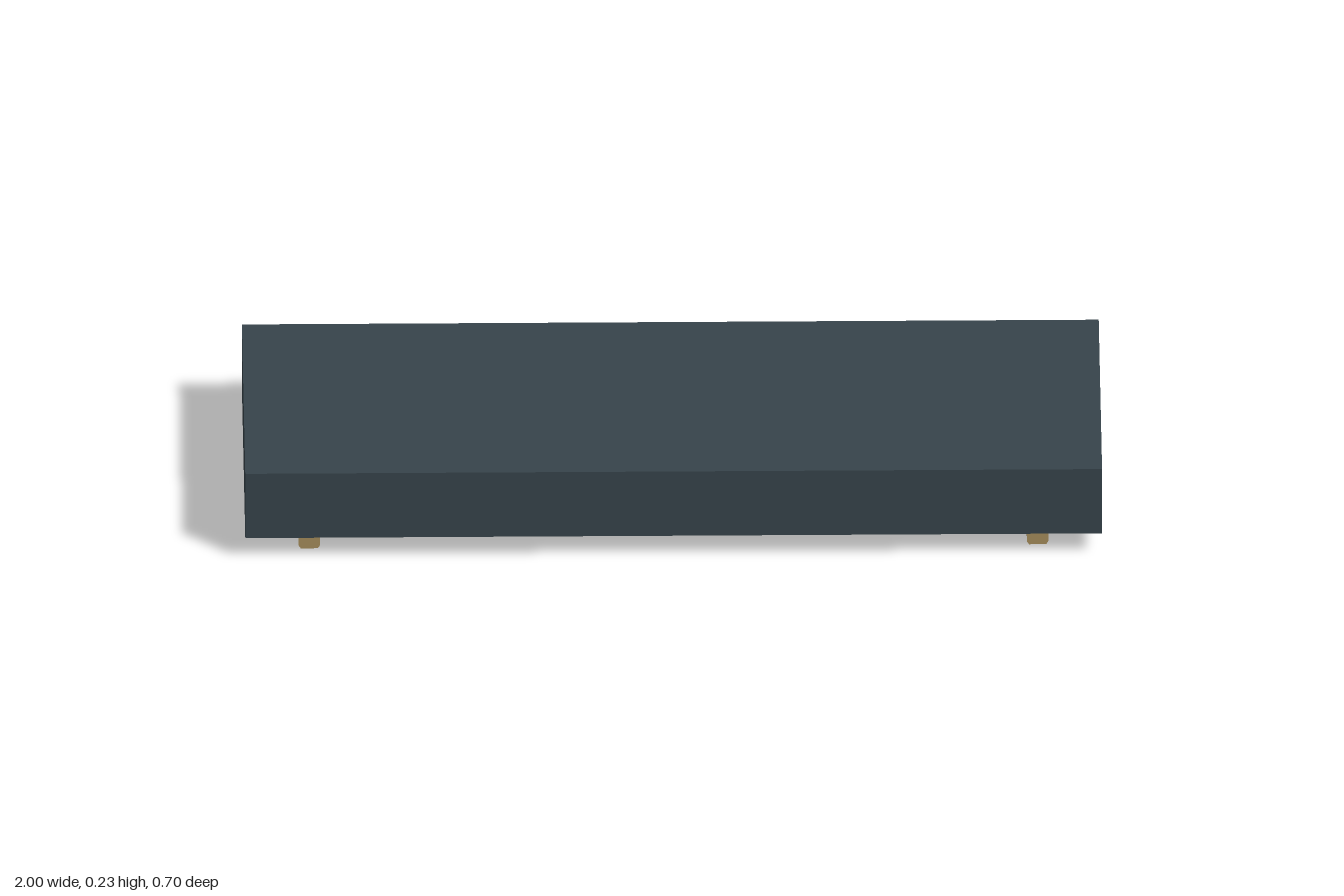
import * as THREE from 'three';

export function createModel() {
  const model = new THREE.Group();
  const mat = (name, color) => {
    const m = new THREE.MeshStandardMaterial({ color });
    m.name = name;
    return m;
  };
  const slate = mat('dark slate', 0x37444b);
  const cream = mat('pale wood', 0xc8ba9b);
  const tan = mat('tan wood', 0xa58d5b);

  const add = (name, geometry, material, x, y, z) => {
    const mesh = new THREE.Mesh(geometry, material);
    mesh.name = name;
    mesh.position.set(x, y, z);
    model.add(mesh);
  };

  // Thick top slab
  add('topSlab', new THREE.BoxGeometry(2, 0.173, 0.7), slate, 0, 0.1435, 0);

  // Shallow panel underneath
  add('underPanel', new THREE.BoxGeometry(1.8, 0.042, 0.526), cream, 0, 0.036, 0);

  // Cross runners with chamfered lower edges
  const profile = new THREE.Shape([
    [-0.025, 0.057], [-0.025, 0.008], [-0.02, 0],
    [0.02, 0], [0.025, 0.008], [0.025, 0.057],
  ].map(([x, y]) => new THREE.Vector2(x, y)));
  const runner = new THREE.ExtrudeGeometry(profile, { depth: 0.6, bevelEnabled: false });
  for (const side of [-1, 1]) {
    add(side > 0 ? 'leftRunner' : 'rightRunner', runner, tan, side * 0.85, 0, -0.3);
  }
  return model;
}
